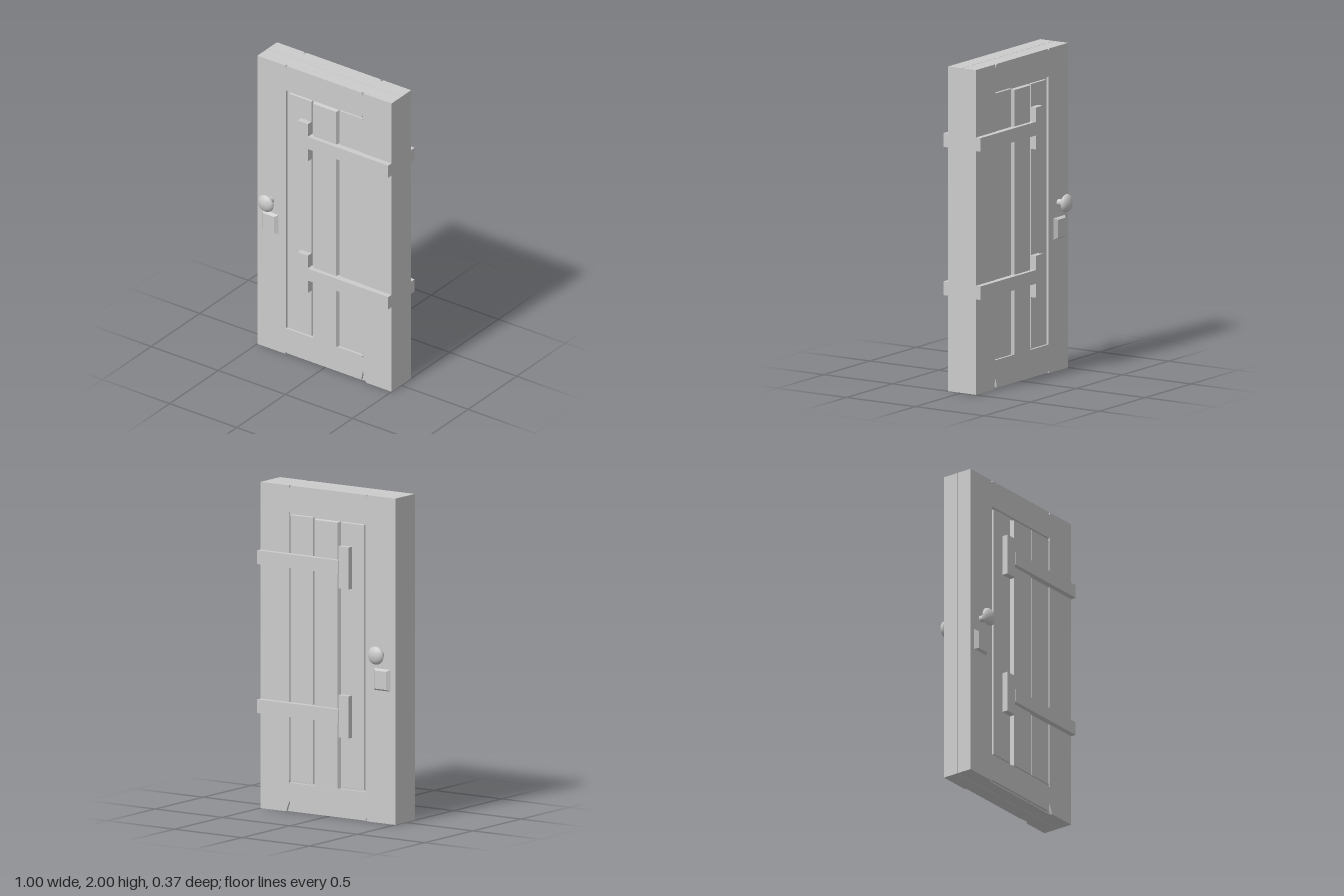
import * as THREE from 'three';

const material = new THREE.MeshStandardMaterial({ color: 0xcccccc });
const MID = -0.004; // seam between the two door halves

// Mirror a geometry to the back, keeping its faces outward
function mirrorZ(geometry) {
  const g = geometry.index ? geometry.toNonIndexed() : geometry.clone();
  g.scale(1, 1, -1);
  for (const name of Object.keys(g.attributes)) {
    const { array, itemSize } = g.attributes[name];
    for (let i = 0; i < array.length; i += itemSize * 3) {
      for (let k = 0; k < itemSize; k++) {
        const a = i + itemSize + k, b = a + itemSize;
        [array[a], array[b]] = [array[b], array[a]];
      }
    }
  }
  // normals are rebuilt per face only where they were flat; scale() already mirrors them
  return g;
}

// Box given by its limits; the outer face can be inset to make a bevel
function block(x0, x1, y0, y1, z0, z1, insetX = 0, insetY = insetX) {
  const w = x1 - x0, h = y1 - y0;
  let g = new THREE.BoxGeometry(w, h, z1 - z0);
  if (insetX || insetY) {
    const p = g.attributes.position;
    for (let i = 0; i < p.count; i++) {
      if (p.getZ(i) > 0) {
        p.setX(i, p.getX(i) * (1 - (2 * insetX) / w));
        p.setY(i, p.getY(i) * (1 - (2 * insetY) / h));
      }
    }
    g.computeVertexNormals();
  }
  return g.translate((x0 + x1) / 2, (y0 + y1) / 2, (z0 + z1) / 2);
}

// Flat board cut from an outline
function board(points, z0, z1) {
  const shape = new THREE.Shape(points.map(([x, y]) => new THREE.Vector2(x, y)));
  return new THREE.ExtrudeGeometry(shape, { depth: z1 - z0, bevelEnabled: false }).translate(0, 0, z0);
}

// All parts of one door face, looking along +z
function faceParts() {
  const base = 0.086, face = 0.101;
  const parts = [];
  const add = (name, geometry) => parts.push([name, geometry]);

  add('core', block(-0.5, 0.5, 0, 2, 0.001, base));

  // Stiles with small chips at the joints
  add('latchStile', board([
    [-0.5, 0], [-0.293, 0], [-0.288, 0.02], [-0.288, 1.985], [-0.293, 2], [-0.5, 2],
  ], base, face));
  add('hingeStile', board([
    [0.31, 0], [0.5, 0], [0.5, 2], [0.291, 2], [0.285, 1.98],
    [0.285, 1.845], [0.291, 1.825], [0.285, 1.81],
    [0.285, 0.195], [0.291, 0.18], [0.285, 0.165], [0.285, 0.07],
  ], base, face));

  // Rails
  add('bottomRail', board([
    [-0.28, 0.008], [0.274, 0.008], [0.285, 0.065], [0.285, 0.178], [-0.288, 0.178], [-0.288, 0.02],
  ], base, face));
  add('topRail', board([
    [-0.288, 1.828], [0.285, 1.828], [0.285, 1.98], [0.275, 2], [-0.281, 2], [-0.288, 1.985],
  ], base, face));

  // Panel planks, the middle one standing proud
  add('latchPlank', block(-0.268, -0.098, 0.186, 1.815, base, 0.097, 0.003));
  add('middlePlank', block(-0.086, 0.101, 0.175, 1.815, base, 0.109, 0.009, 0.005));
  add('hingePlank', block(0.11, 0.285, 0.186, 1.822, base, 0.097, 0.003));

  // Strap hinges with end plates
  for (const [y, name] of [[0.63, 'lower'], [1.543, 'upper']]) {
    add(name + 'Strap', block(-0.1, 0.5, y - 0.042, y + 0.042, base, 0.136));
    add(name + 'StrapPlate', block(-0.177, -0.1, y - 0.129, y + 0.129, base, 0.134));
  }

  // Lock plate
  add('lockPlate', block(-0.465, -0.34, 0.812, 0.947, 0.1, 0.12, 0.022, 0.012));

  // Mushroom knob on a round stem
  const profile = [
    [0.021, 0.1], [0.021, 0.142], [0.036, 0.143], [0.05, 0.149], [0.056, 0.157],
    [0.055, 0.163], [0.048, 0.172], [0.035, 0.18], [0.018, 0.185], [0, 0.187],
  ].map(([r, z]) => new THREE.Vector2(r, z));
  add('knob', new THREE.LatheGeometry(profile, 32).rotateX(Math.PI / 2).translate(-0.396, 1.036, 0));
  return parts;
}

export function createModel() {
  const door = new THREE.Group();
  door.name = 'door';
  const front = new THREE.Group();
  front.name = 'frontHalf';
  const back = new THREE.Group();
  back.name = 'backHalf';

  for (const [name, geometry] of faceParts()) {
    for (const [half, g] of [[front, geometry], [back, mirrorZ(geometry)]]) {
      const mesh = new THREE.Mesh(g, material);
      mesh.name = name;
      half.add(mesh);
    }
  }
  front.position.z = back.position.z = MID;
  door.add(front, back);
  return door;
}
